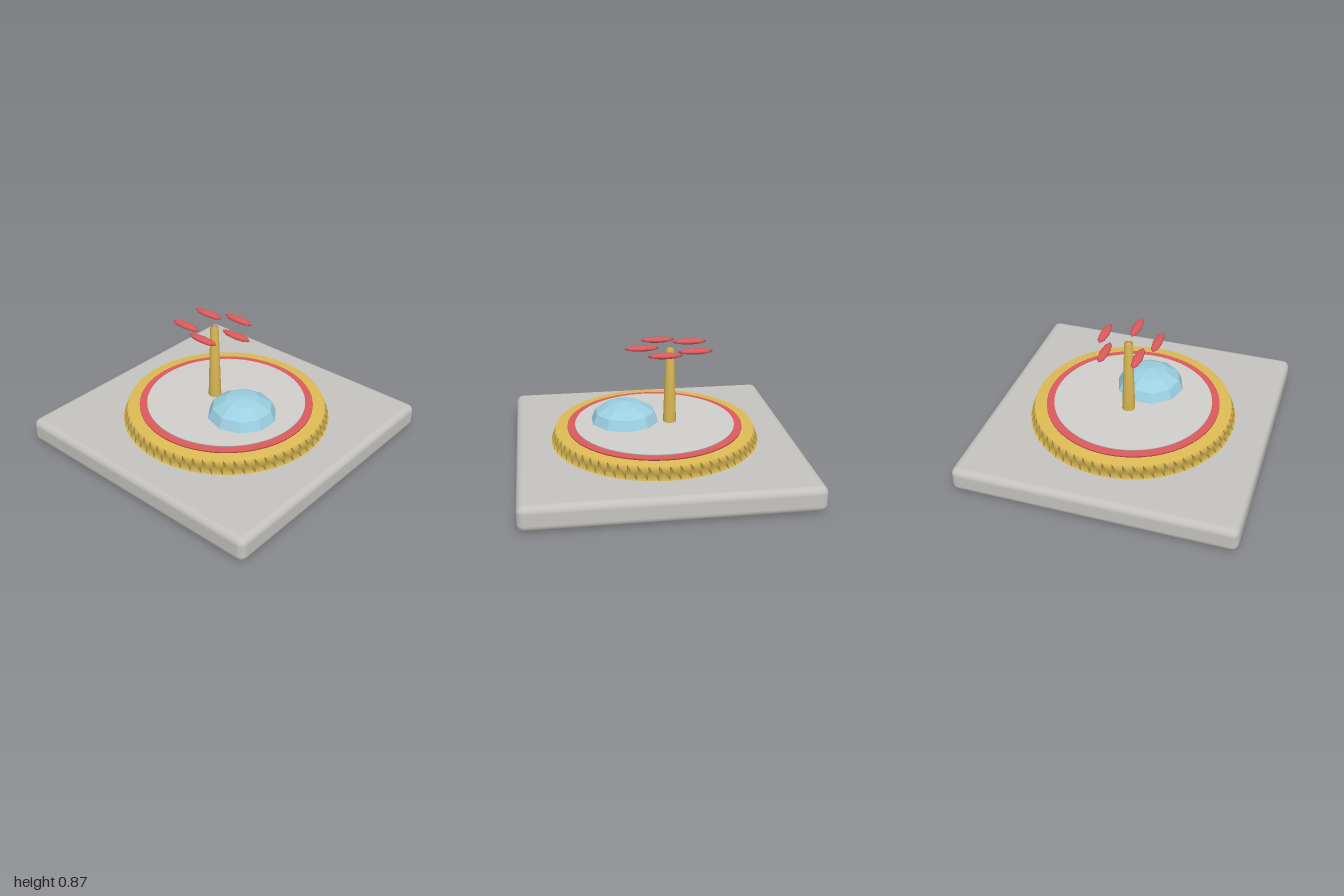
import * as THREE from 'three';
import { RoundedBoxGeometry } from 'three/addons/geometries/RoundedBoxGeometry.js';

function material(name, color, options = {}) {
  const m = new THREE.MeshStandardMaterial({ color, ...options });
  m.name = name;
  return m;
}

// Solid turned from [radius, height] pairs, listed from bottom to top
function turned(profile, sides) {
  return new THREE.LatheGeometry(profile.map(([r, y]) => new THREE.Vector2(r, y)), sides);
}

const disc = (bottomRadius, topRadius, y0, y1, sides = 64) =>
  turned([[0, y0], [bottomRadius, y0], [topRadius, y1], [0, y1]], sides);

export function createModel() {
  const model = new THREE.Group();
  model.name = 'fountainPlate';

  const stone = material('stone grey', 0xc4c2be);
  const pale = material('pale grey', 0xd0cecb);
  const gold = material('gold', 0xdcba55);
  const red = material('red', 0xdb5a5c);
  const blue = material('light blue', 0x9bcfe0, { flatShading: true });

  function add(name, geometry, mat, x = 0, y = 0, z = 0) {
    const mesh = new THREE.Mesh(geometry, mat);
    mesh.name = name;
    mesh.position.set(x, y, z);
    model.add(mesh);
    return mesh;
  }

  // Square slab with rounded edges
  add('base', new RoundedBoxGeometry(2, 0.18, 2, 3, 0.05), stone, 0, 0.09, 0);

  // Stacked round plates
  add('goldPlate', disc(0.75, 0.714, 0.18, 0.27), gold);
  add('redPlate', disc(0.63, 0.63, 0.27, 0.282), red);
  add('innerPlate', disc(0.575, 0.575, 0.28, 0.292), pale);

  // Faceted dome
  const domeProfile = [];
  for (let i = 0; i <= 3; i++) {
    const a = (i / 3) * Math.PI / 2;
    domeProfile.push([i === 3 ? 0 : 0.25 * Math.cos(a), 0.15 * Math.sin(a)]);
  }
  add('dome', turned(domeProfile, 10), blue, 0.21, 0.288, 0.07);

  // Tapered pole
  const poleX = -0.11;
  add('pole', disc(0.048, 0.03, 0.29, 0.845, 12), gold, poleX);

  // Ring of five petals, all pointing the same way
  const petal = new THREE.SphereGeometry(1, 8, 6).scale(0.125, 0.021, 0.034);
  for (let i = 0; i < 5; i++) {
    const a = (i / 5) * Math.PI * 2;
    add('petal', petal, red, poleX + 0.2 * Math.cos(a), 0.85, 0.2 * Math.sin(a));
  }

  return model;
}
